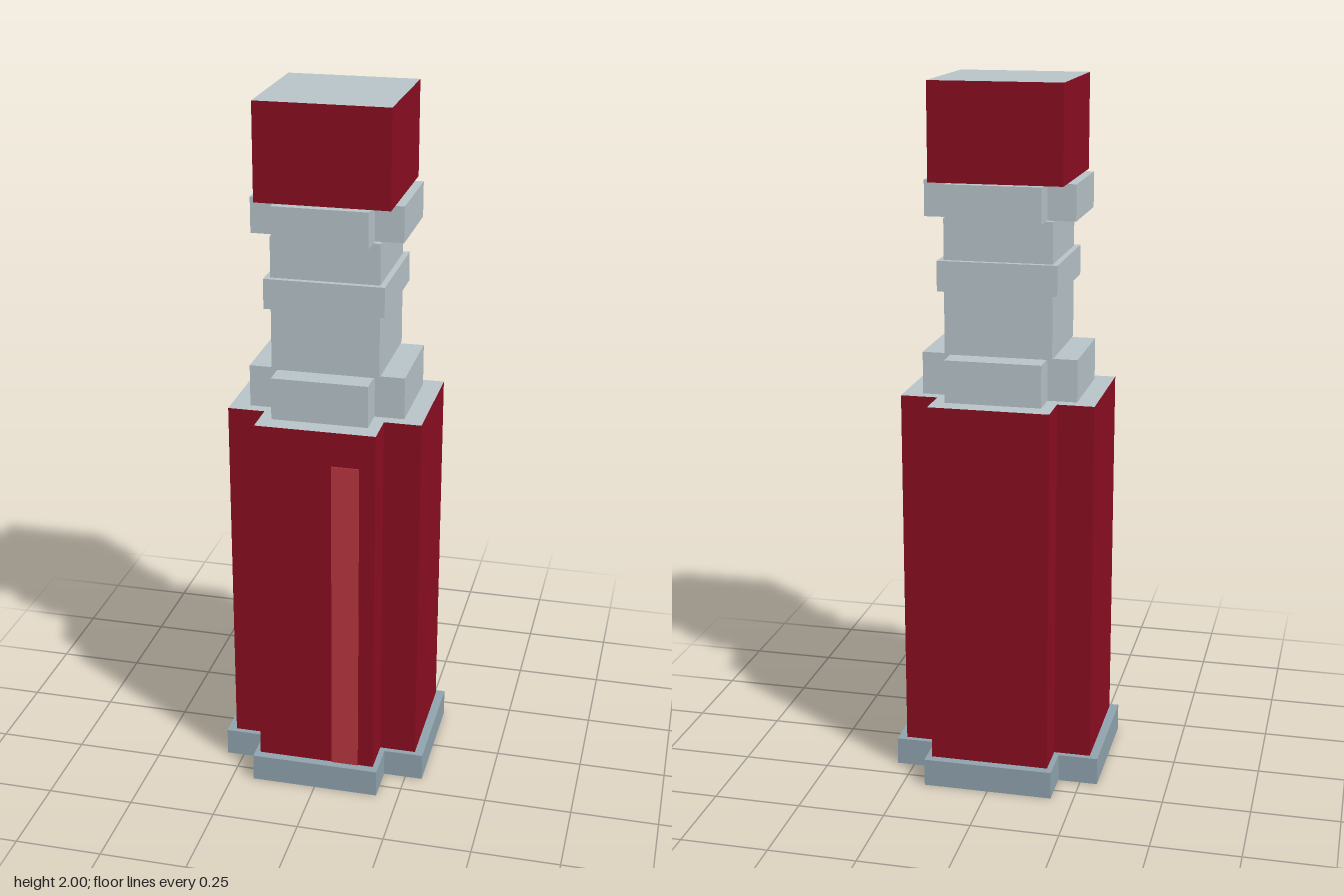
import * as THREE from 'three';

const mat = (name, color) => {
  const m = new THREE.MeshStandardMaterial({ color });
  m.name = name;
  return m;
};

// Upright prism with a plus-shaped section: reach = arm length, arm = half arm width
function crossPrism(reach, arm, y0, y1) {
  const quarter = [[reach, -arm], [reach, arm], [arm, arm]];
  const points = [];
  for (let i = 0; i < 4; i++) {
    for (const [x, y] of quarter) {
      const turned = [[x, y], [-y, x], [-x, -y], [y, -x]][i];
      points.push(new THREE.Vector2(...turned));
    }
  }
  const geo = new THREE.ExtrudeGeometry(new THREE.Shape(points), { depth: y1 - y0, bevelEnabled: false });
  return geo.rotateX(-Math.PI / 2).translate(0, y0, 0);
}

// Upright square block
const block = (half, y0, y1) =>
  new THREE.BoxGeometry(half * 2, y1 - y0, half * 2).translate(0, (y0 + y1) / 2, 0);

export function createModel() {
  const red = mat('deep red', 0x8b0d20);
  const highlight = mat('light red', 0xb83540);
  const silver = mat('light grey', 0xb8c4c9);
  const steel = mat('blue grey', 0x90a4ae);

  const group = new THREE.Group();
  group.name = 'tube';
  const add = (name, geometry, material) => {
    const mesh = new THREE.Mesh(geometry, material);
    mesh.name = name;
    group.add(mesh);
  };

  // Foot and main case (grey on top, red sides)
  add('base', crossPrism(0.3, 0.186, 0, 0.08), steel);
  add('case', crossPrism(0.275, 0.17, 0.08, 1.13), [silver, red]);

  // Painted stripe on the front of the case
  add('frontStripe', new THREE.BoxGeometry(0.078, 0.95, 0.004).translate(0.086, 0.555, 0.276), highlight);

  // Stem with its collars
  add('lowerCollar', crossPrism(0.22, 0.136, 1.13, 1.25), silver);
  add('neck', block(0.152, 1.25, 1.63), silver);
  add('neckRing', block(0.168, 1.43, 1.515), silver);
  add('upperCollar', crossPrism(0.211, 0.132, 1.63, 1.73), silver);

  // Red head with a grey top face
  add('head', block(0.186, 1.73, 2), [red, red, silver, red, red, red]);

  return group;
}
